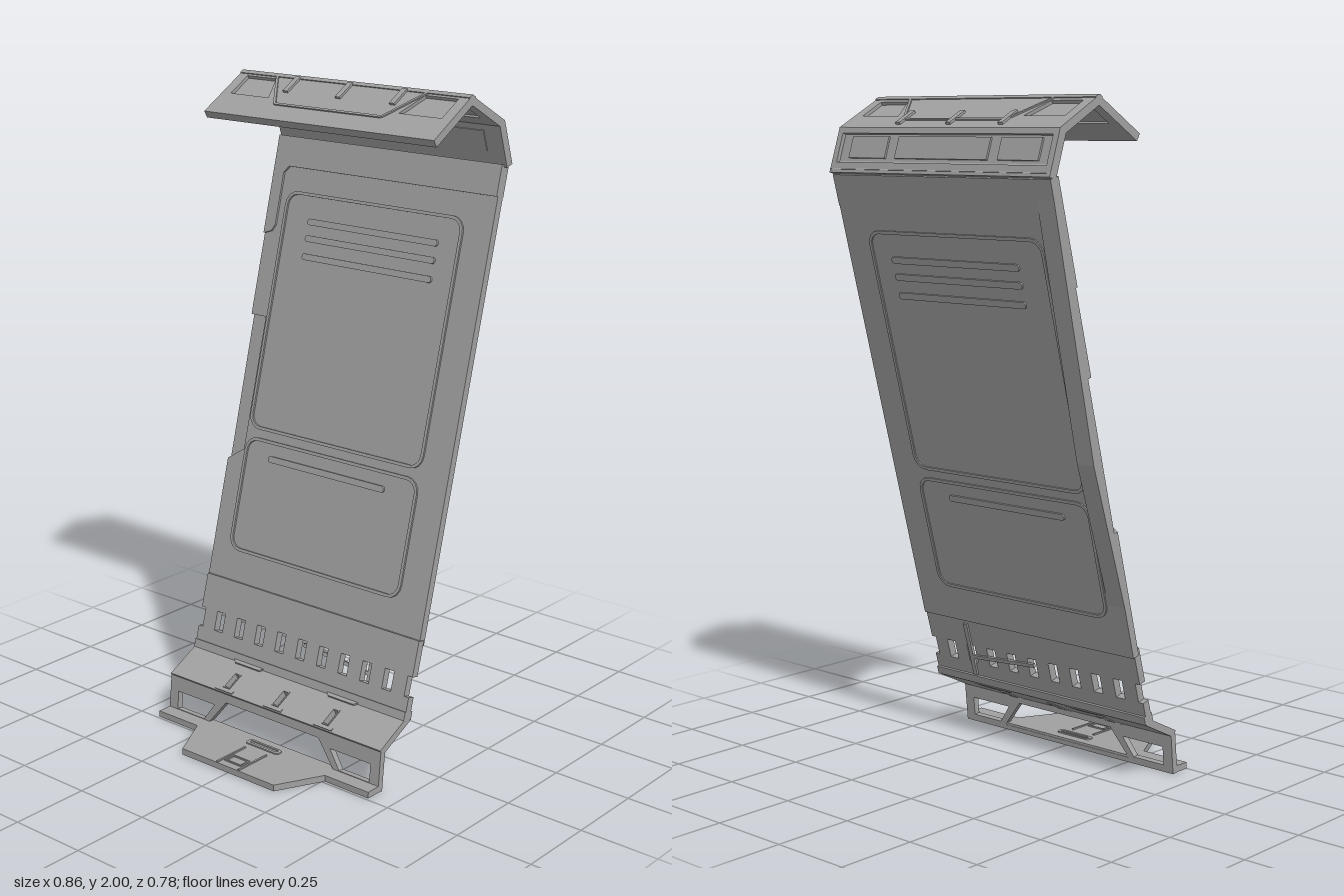
import * as THREE from 'three';

const material = new THREE.MeshStandardMaterial({ color: 0xa0a0a0, flatShading: true });

const rect = (x0, y0, x1, y1) => [[x0, y0], [x1, y0], [x1, y1], [x0, y1]];
const mirror = (pts) => pts.map(([x, y]) => [-x, y]);
const both = (pts) => [pts, mirror(pts)];
const toVectors = (pts) => pts.map(([x, y]) => new THREE.Vector2(x, y));

// Rectangle with rounded corners, as a list of points
function rounded(x0, y0, x1, y1, r) {
  const pts = [];
  [[x1 - r, y1 - r], [x0 + r, y1 - r], [x0 + r, y0 + r], [x1 - r, y0 + r]].forEach(([cx, cy], i) => {
    for (let k = 0; k <= 4; k++) {
      const a = (i + k / 4) * Math.PI / 2;
      pts.push([cx + r * Math.cos(a), cy + r * Math.sin(a)]);
    }
  });
  return pts;
}

// Extruded sheet between two local depths
function sheet(name, outline, holes, back, front) {
  const shape = new THREE.Shape(toVectors(outline));
  holes.forEach((h) => shape.holes.push(new THREE.Path(toVectors(h))));
  const geo = new THREE.ExtrudeGeometry(shape, { depth: front - back, bevelEnabled: false });
  geo.translate(0, 0, back);
  const mesh = new THREE.Mesh(geo, material);
  mesh.name = name;
  return mesh;
}

// Narrow straight bar between two local points
function bar(name, [x0, y0], [x1, y1], w, back, front) {
  const l = Math.hypot(x1 - x0, y1 - y0);
  const [nx, ny] = [-(y1 - y0) / l * w / 2, (x1 - x0) / l * w / 2];
  return sheet(name, [[x0 - nx, y0 - ny], [x1 - nx, y1 - ny], [x1 + nx, y1 + ny], [x0 + nx, y0 + ny]], [], back, front);
}

// Group whose local y runs from point a to point b (given as [z, y]), outer face at local z = 0
function segment(name, a, b) {
  const g = new THREE.Group();
  g.name = name;
  const x = new THREE.Vector3(1, 0, 0);
  const y = new THREE.Vector3(0, b[1] - a[1], b[0] - a[0]);
  const len = y.length();
  y.normalize();
  const m = new THREE.Matrix4().makeBasis(x, y, x.clone().cross(y));
  m.setPosition(0, a[1], a[0]);
  m.decompose(g.position, g.quaternion, g.scale);
  return { g, len };
}

// Hood face: recessed side panels, beaded centre outline, ridge strip and three ribs
function hoodFace(name, a, b, quad, centre, ridge, ribs) {
  const { g, len } = segment(name, a, b);
  const quads = both(quad);
  g.add(sheet('hoodPlate', rect(-0.43, 0, 0.43, len), quads, -0.024, 0));
  quads.forEach((q) => g.add(sheet('hoodInset', q, [], -0.018, -0.01)));
  centre.slice(1).forEach((p, i) => g.add(bar('hoodBead', centre[i], p, 0.008, -0.027, 0.004)));
  g.add(sheet('ridgeStrip', rect(-0.43, ridge[0], 0.43, ridge[1]), [], -0.026, 0.003));
  for (const x of [-0.2, 0, 0.2]) {
    g.add(sheet('hoodRib', rect(x - 0.009, ribs[0], x + 0.009, ribs[1]), [], -0.028, 0.007));
  }
  return g;
}

export function createModel() {
  const model = new THREE.Group();
  model.name = 'bentWallPanel';

  // Main leaning panel, with a shallow cut along its right edge
  const y0 = 0.4;
  const zAt = (y) => 0.1115 - 0.264 * y;
  const main = segment('mainPanel', [zAt(y0), y0], [zAt(1.78), 1.78]);
  const k = main.len / (1.78 - y0);
  const v = (y) => (y - y0) * k;
  main.g.add(sheet('panelBody', [
    [-0.43, 0], [0.42, 0], [0.42, main.len], [-0.43, main.len],
    [-0.43, v(1.23)], [-0.37, v(1.23)], [-0.37, v(0.82)], [-0.43, v(0.78)],
  ], [], -0.025, 0));
  // Beaded outlines of the two large panels, on both faces
  for (const [bottom, top] of [[0.89, 1.62], [0.51, 0.865]]) {
    main.g.add(sheet('panelBead', rounded(-0.362, v(bottom), 0.322, v(top), 0.045),
      [rounded(-0.352, v(bottom) + 0.01, 0.312, v(top) - 0.01, 0.035)], -0.029, 0.006));
  }
  for (const [y, x1] of [[1.535, 0.24], [1.485, 0.24], [1.43, 0.24], [0.81, 0.2]]) {
    main.g.add(sheet('panelBar', rounded(-0.26, v(y) - 0.01, x1, v(y) + 0.01, 0.009), [], -0.03, 0.007));
  }
  main.g.add(sheet('topRim', [
    [-0.43, v(1.48)], [-0.4, v(1.49)], [-0.388, v(1.51)], [-0.388, v(1.67)],
    [-0.37, v(1.69)], [0.42, v(1.69)], [0.42, main.len], [-0.43, main.len],
  ], [], -0.027, 0.007));
  model.add(main.g);

  // Thickened rear edge on the right side; the profile is [-z, y]
  const rearEdge = sheet('rearEdge',
    [[0.36, 1.74], [0.375, 1.74], [0.2, 0.98], [0.06, 0.55], [0.05, 0.55]], [], -0.43, -0.368);
  rearEdge.rotation.y = Math.PI / 2;
  model.add(rearEdge);

  // Perforated lower band, with open notches at both ends
  const band = segment('ventBand', [0.075, 0.195], [0.012, 0.42]);
  const [h0, h1] = [0.062, 0.124];
  const edge = [[0.425, 0], [0.425, h0], [0.408, h0], [0.408, h1], [0.425, h1], [0.425, band.len]];
  const holes = [];
  for (let i = -4; i <= 4; i++) holes.push(rect(i * 0.085 - 0.017, h0, i * 0.085 + 0.017, h1));
  band.g.add(sheet('bandPlate', [...edge, ...mirror(edge).reverse()], holes, -0.025, 0));
  band.g.add(sheet('bandLip', rect(-0.425, -0.008, 0.425, 0.018), [], -0.032, 0.004));
  // Strap and diagonal brace behind the band
  band.g.add(bar('rearStrap', [0.255, 0.02], [0.255, 0.2], 0.016, -0.031, -0.022));
  band.g.add(bar('rearBrace', [0.255, 0.085], [-0.01, 0.105], 0.012, -0.031, -0.022));
  model.add(band.g);

  // Sloping shelf with three slots
  const shelf = segment('shelf', [0.19, 0.132], [0.06, 0.197]);
  const slots = [-0.2, 0, 0.2].map((x) => rect(x - 0.009, 0.022, x + 0.009, 0.078));
  shelf.g.add(sheet('shelfPlate', rect(-0.425, 0, 0.425, shelf.len), slots, -0.022, 0));
  for (const x of [-0.2, 0, 0.2]) {
    shelf.g.add(sheet('slotCollar', rect(x - 0.013, 0.018, x + 0.013, 0.082),
      [rect(x - 0.009, 0.022, x + 0.009, 0.078)], -0.025, 0.003));
    shelf.g.add(sheet('slotFoot', rect(x - 0.035, 0.004, x + 0.035, 0.014), [], -0.024, 0.003));
  }
  both([[0.11, 0.145], [0.27, 0.145], [0.24, 0.115], [0.14, 0.115]]).forEach((p) =>
    shelf.g.add(sheet('shelfTab', p, [], -0.025, 0.006)));
  model.add(shelf.g);

  // Upright truss below the shelf
  const riser = segment('riser', [0.2, 0], [0.187, 0.132]);
  riser.g.add(sheet('riserFrame', rect(-0.425, 0, 0.425, riser.len), [
    [[-0.255, 0.015], [0.255, 0.015], [0.188, 0.1], [-0.188, 0.1]],
    ...both([[0.39, 0.022], [0.275, 0.022], [0.235, 0.08], [0.39, 0.08]]),
  ], -0.02, 0));
  model.add(riser.g);

  // Floor plate with a tapered tongue; local y = 0.39 - z
  const floor = segment('floorPlate', [0.39, 0.02], [0.18, 0.02]);
  const half = [[0.185, 0], [0.26, 0.145], [0.425, 0.145], [0.425, 0.21]];
  floor.g.add(sheet('floorBody', [...half, ...mirror(half).reverse()], [], -0.02, 0));
  floor.g.add(sheet('slotFrame', rounded(-0.065, 0.152, 0.065, 0.18, 0.01),
    [rounded(-0.055, 0.161, 0.055, 0.173, 0.005)], -0.01, 0.004));
  for (const s of [-1, 1]) {
    floor.g.add(bar('latchRail', [s * 0.043, 0.002], [s * 0.043, 0.128], 0.006, -0.01, 0.004));
  }
  floor.g.add(sheet('latch', rect(-0.032, 0.024, 0.032, 0.066), [rect(-0.027, 0.029, 0.027, 0.061)], -0.01, 0.004));
  model.add(floor.g);

  // Hood: front slope and rear slope
  model.add(hoodFace('hoodFront', [-0.01, 1.893], [-0.185, 1.997],
    [[0.395, 0.094], [0.245, 0.094], [0.28, 0.182], [0.395, 0.182]],
    [[-0.28, 0.19], [-0.2, 0.068], [0.2, 0.068], [0.28, 0.19]], [0.19, 0.203], [0.125, 0.195]));
  model.add(hoodFace('hoodRear', [-0.185, 1.997], [-0.345, 1.91],
    [[0.395, 0.029], [0.28, 0.029], [0.245, 0.115], [0.395, 0.115]],
    [[-0.28, 0.015], [-0.2, 0.138], [0.2, 0.138], [0.28, 0.015]], [0, 0.016], [0.095, 0.165]));

  // Rear wall of the hood: a recessed band with raised boxes above a sloping ledge
  const wall = segment('hoodWall', [-0.345, 1.91], [-0.388, 1.78]);
  const recess = rect(-0.41, 0.018, 0.41, 0.105);
  wall.g.add(sheet('wallFrame', rect(-0.43, 0, 0.43, wall.len), [recess], -0.027, 0));
  wall.g.add(sheet('wallRecess', recess, [], -0.027, -0.012));
  [rect(-0.18, 0.025, 0.18, 0.09), ...both(rect(0.22, 0.025, 0.37, 0.09))].forEach((p) =>
    wall.g.add(sheet('wallBox', p, [], -0.03, -0.006)));
  model.add(wall.g);
  const ledge = segment('wallLedge', [-0.358, 1.82], [-0.386, 1.79]);
  ledge.g.add(sheet('ledgePlate', rect(-0.43, 0, 0.43, ledge.len), [], -0.01, 0));
  model.add(ledge.g);

  return model;
}
